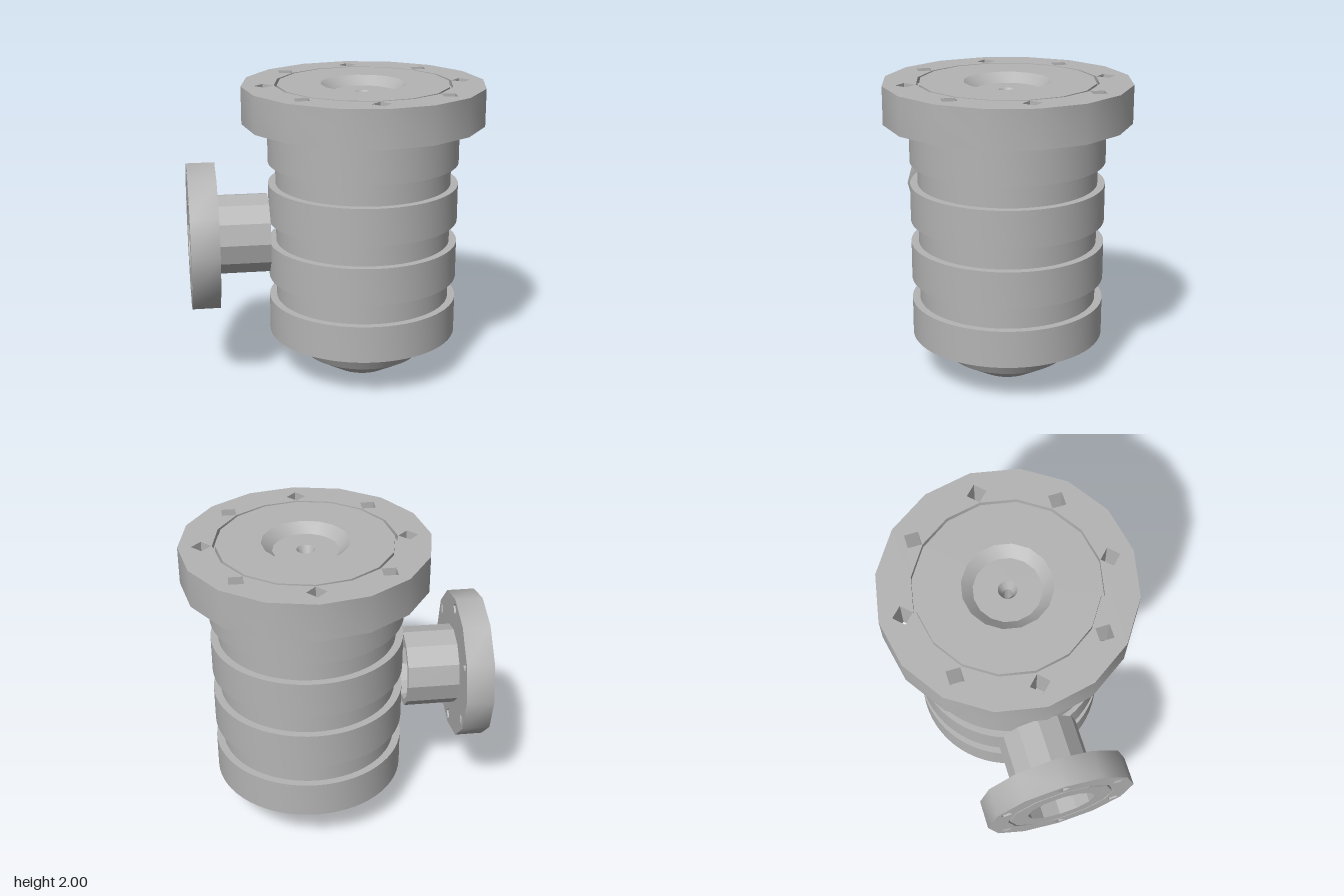
import * as THREE from 'three';
import { toCreasedNormals } from 'three/addons/utils/BufferGeometryUtils.js';

const AXIS_X = 0.18; // vertical axis of the vessel
const PIPE_Y = 1.0; // height of the side port axis

const steel = new THREE.MeshStandardMaterial({ color: 0xb4b4b4 });
steel.name = 'grey steel';

// Closed ring of [radius, height] points, counter-clockwise, spun about y
function turned(profile, sides) {
  const pts = [...profile, profile[0]].map(([r, y]) => new THREE.Vector2(r, y));
  return toCreasedNormals(new THREE.LatheGeometry(pts, sides), 0.45);
}

function polygon(target, radius, sides, cx = 0, cy = 0, turn = 0) {
  const pts = [];
  for (let i = 0; i < sides; i++) {
    const a = turn + (i / sides) * Math.PI * 2;
    pts.push(new THREE.Vector2(cx + radius * Math.cos(a), cy + radius * Math.sin(a)));
  }
  return target.setFromPoints(pts);
}

// Polygonal ring with diamond bolt holes, extruded along +z
function boltRing({ outer, inner, sides, depth, holes, holeCircle, holeRadius, turn = 0 }) {
  const shape = polygon(new THREE.Shape(), outer, sides);
  shape.holes.push(polygon(new THREE.Path(), inner, sides));
  for (let i = 0; i < holes; i++) {
    const a = turn + (i / holes) * Math.PI * 2;
    shape.holes.push(polygon(new THREE.Path(), holeRadius, 4,
      holeCircle * Math.cos(a), holeCircle * Math.sin(a), a));
  }
  const geo = new THREE.ExtrudeGeometry(shape, { depth, bevelEnabled: false });
  return toCreasedNormals(geo, 0.55);
}

export function createModel() {
  const model = new THREE.Group();
  model.name = 'flangedVessel';

  function add(parent, name, geometry) {
    const mesh = new THREE.Mesh(geometry, steel);
    mesh.name = name;
    parent.add(mesh);
    return mesh;
  }

  const vessel = new THREE.Group();
  vessel.name = 'vessel';
  vessel.position.x = AXIS_X;
  model.add(vessel);

  // Ribbed body: four wide bands separated by grooves, with a drilled centre
  const body = [[0.03, 0.28]];
  for (let i = 0; i < 4; i++) {
    const y = 0.28 + i * 0.4;
    const top = i === 3 ? 1.742 : y + 0.25;
    if (i > 0) body.push([0.59, y]);
    body.push([0.64, y], [0.64, top]);
    if (i < 3) body.push([0.59, top]);
  }
  body.push([0.03, 1.742]);
  add(vessel, 'ribbedBody', turned(body, 64));

  // Tapered bottom cap
  add(vessel, 'bottomCap', turned(
    [[0.02, 0], [0.2, 0], [0.4, 0.12], [0.485, 0.27], [0.02, 0.27]], 48));

  // Top flange: drilled outer ring
  const topRing = boltRing({
    outer: 0.81, inner: 0.592, sides: 16, depth: 0.25,
    holes: 8, holeCircle: 0.66, holeRadius: 0.064,
  });
  topRing.rotateX(-Math.PI / 2);
  add(vessel, 'topFlange', topRing).position.y = 1.75;

  // Lid inside the flange: narrow rim groove and dished centre
  add(vessel, 'lid', turned([
    [0.2, 1.75], [0.592, 1.75], [0.592, 1.96], [0.574, 1.96], [0.574, 2],
    [0.285, 2], [0.215, 1.94], [0.2, 1.94],
  ], 16));

  // Central hub with a countersunk hole
  add(vessel, 'centreHub', turned([
    [0.03, 1.735], [0.2, 1.735], [0.205, 1.94], [0.06, 1.94], [0.03, 1.88],
  ], 32));

  // Side port, built along its own axis and turned to face -x
  const port = new THREE.Group();
  port.name = 'sidePort';
  port.position.y = PIPE_Y;
  model.add(port);

  const sideRing = boltRing({
    outer: 0.5, inner: 0.365, sides: 12, depth: 0.185,
    holes: 6, holeCircle: 0.43, holeRadius: 0.042, turn: Math.PI / 2,
  });
  sideRing.rotateY(-Math.PI / 2);
  add(port, 'sideFlange', sideRing).position.x = -0.815;

  // Pipe and inner flange face share one open bore
  const pipe = turned([
    [0.23, 0.47], [0.27, 0.47], [0.27, 0.815], [0.365, 0.815], [0.365, 0.975],
    [0.35, 0.975], [0.35, 1], [0.23, 1],
  ], 12);
  pipe.rotateZ(Math.PI / 2);
  add(port, 'sidePipe', pipe);

  return model;
}
